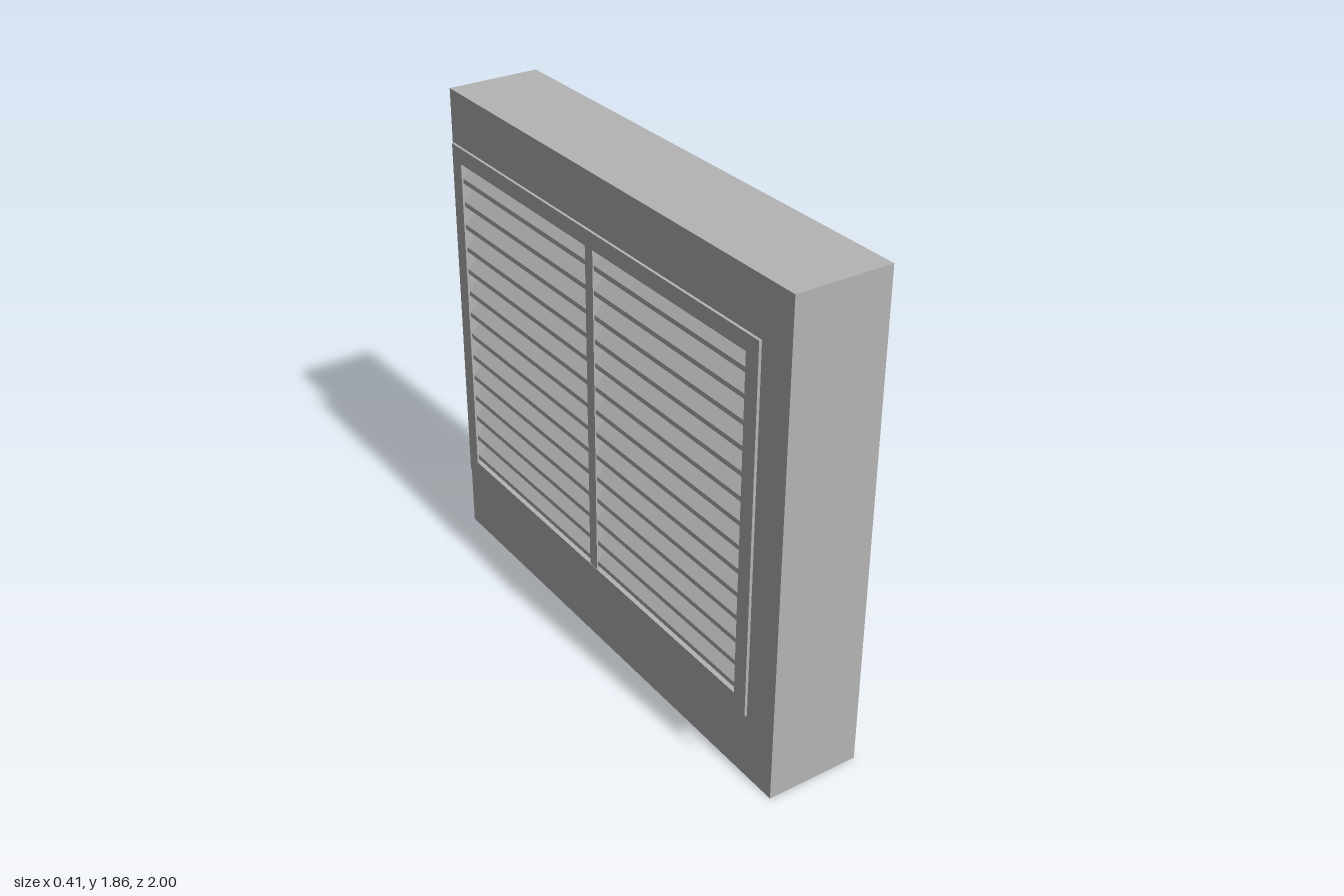
import * as THREE from 'three';

const BACK = -0.155; // wall face that carries the grille
const MID_Y = 1.0;

// Rectangular ring in the z-y plane, extruded towards -x
function ring(halfZ, halfY, holeZ, holeY, depth) {
  const rect = (Type, a, b) => new Type([
    new THREE.Vector2(-a, -b), new THREE.Vector2(a, -b),
    new THREE.Vector2(a, b), new THREE.Vector2(-a, b),
  ]);
  const shape = rect(THREE.Shape, halfZ, halfY);
  shape.holes.push(rect(THREE.Path, holeZ, holeY));
  return new THREE.ExtrudeGeometry(shape, { depth, bevelEnabled: false }).rotateY(-Math.PI / 2);
}

export function createModel() {
  const group = new THREE.Group();
  const grey = new THREE.MeshStandardMaterial({ color: 0xb4b4b4 });
  grey.name = 'light grey';

  const add = (name, geometry, x, y, z, parent = group) => {
    const mesh = new THREE.Mesh(geometry, grey);
    mesh.name = name;
    mesh.position.set(x, y, z);
    parent.add(mesh);
    return mesh;
  };

  // Solid wall block
  add('wallBlock', new THREE.BoxGeometry(0.36, 1.86, 2), 0.025, 0.93, 0);

  // Vent grille: collar, thin flange and centre bar
  const grille = new THREE.Group();
  grille.name = 'ventGrille';
  group.add(grille);
  const holeZ = 0.85, holeY = 0.63;
  add('collar', ring(0.86, 0.64, holeZ, holeY, 0.04), BACK, MID_Y, 0, grille);
  add('flange', ring(0.91, 0.69, holeZ, holeY, 0.01), -0.195, MID_Y, 0, grille);
  add('centreBar', new THREE.BoxGeometry(0.048, holeY * 2, 0.045), -0.179, MID_Y, 0, grille);

  // Sloping louvres in two columns, high at the wall and low at the front
  const profile = new THREE.Shape([
    new THREE.Vector2(0, -0.018), new THREE.Vector2(0, 0),
    new THREE.Vector2(-0.043, -0.046), new THREE.Vector2(-0.043, -0.064),
  ]);
  const length = holeZ - 0.0225;
  const slat = new THREE.ExtrudeGeometry(profile, { depth: length, bevelEnabled: false });
  const count = 14, pitch = (holeY * 2) / count;
  for (let i = 0; i < count; i++) {
    const y = MID_Y + holeY - 0.012 - i * pitch;
    for (const z of [-holeZ, 0.0225]) add('louvre', slat, BACK, y, z, grille);
  }
  return group;
}
